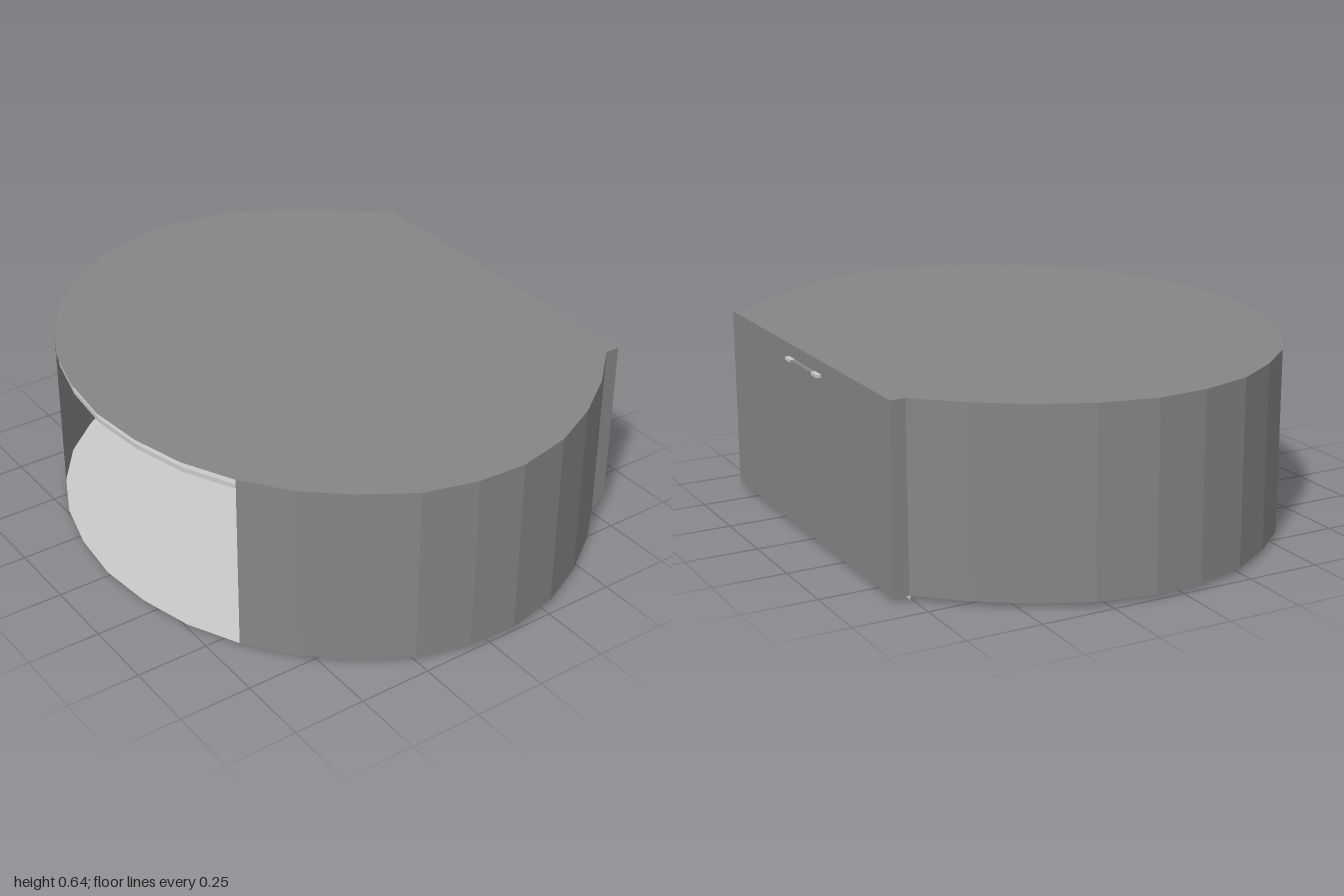
import * as THREE from 'three';

// Half outline of the room, from front centre to back corner, as [x, z]
const OUTLINE = [
  [0, 0.82], [0.2, 0.8], [0.39, 0.75], [0.565, 0.665], [0.72, 0.55], [0.84, 0.41], [0.94, 0.25],
  [0.99, 0.07], [1, -0.1], [0.96, -0.29], [0.88, -0.46], [0.77, -0.62], [0.64, -0.76],
];
const BOTTOM = 0.015, TOP = 0.64, BACK = -0.76;

const makeMaterial = (name, color, side = THREE.FrontSide) => {
  const m = new THREE.MeshStandardMaterial({ color, side });
  m.name = name;
  return m;
};

export function createModel() {
  const grey = makeMaterial('shell grey', 0x868686, THREE.DoubleSide);
  const light = makeMaterial('interior light grey', 0xcacac8, THREE.DoubleSide);
  const orange = makeMaterial('frame orange', 0xd0532c);
  const group = new THREE.Group();

  const add = (name, geometry, material, x = 0, y = 0, z = 0) => {
    const mesh = new THREE.Mesh(geometry, material);
    mesh.name = name;
    mesh.position.set(x, y, z);
    group.add(mesh);
    return mesh;
  };
  // Box given by its minimum and maximum corners
  const box = (name, material, x0, x1, y0, y1, z0, z1) =>
    add(name, new THREE.BoxGeometry(x1 - x0, y1 - y0, z1 - z0), material,
      (x0 + x1) / 2, (y0 + y1) / 2, (z0 + z1) / 2);

  // Full outline, mirrored in x
  const mirrored = OUTLINE.slice(1).reverse().map(([x, z]) => [-x, z]);
  const plan = new THREE.Shape([...mirrored, ...OUTLINE].map(([x, z]) => new THREE.Vector2(x, z)));

  // Roof and floor sheets, and the thin ceiling slab under the roof
  add('roof', new THREE.ShapeGeometry(plan).rotateX(Math.PI / 2), grey, 0, TOP);
  add('floor', new THREE.ShapeGeometry(plan).rotateX(Math.PI / 2), light, 0, BOTTOM);
  const slab = new THREE.ExtrudeGeometry(plan, { depth: 0.016, bevelEnabled: false });
  slab.rotateX(Math.PI / 2).scale(0.998, 1, 0.99);
  add('ceiling', slab, light, 0, 0.618);

  // Faceted side walls, leaving the front open
  for (const side of [1, -1]) {
    const pos = [];
    for (let i = 3; i < OUTLINE.length - 1; i++) {
      const [ax, az] = OUTLINE[i], [bx, bz] = OUTLINE[i + 1];
      const a = [ax * side, BOTTOM, az], b = [bx * side, BOTTOM, bz];
      const c = [bx * side, TOP, bz], d = [ax * side, TOP, az];
      const quad = side > 0 ? [a, b, c, a, c, d] : [a, c, b, a, d, c];
      pos.push(...quad.flat());
    }
    const geometry = new THREE.BufferGeometry();
    geometry.setAttribute('position', new THREE.Float32BufferAttribute(pos, 3));
    geometry.computeVertexNormals();
    add(side > 0 ? 'leftWall' : 'rightWall', geometry, grey);
  }

  // Flat back wall with its light inner lining and a dividing strip
  box('backWall', grey, -0.64, 0.64, BOTTOM, TOP, -0.812, BACK);
  add('backLining', new THREE.PlaneGeometry(1.28, 0.578), light, 0, 0.289, BACK + 0.004);
  box('dividingStrip', grey, -0.64, 0.64, 0.325, 0.337, BACK, BACK + 0.01);

  // Door frames with rounded upper corners
  const arch = (shape, w, y0, y1, r) => {
    shape.moveTo(-w, y0);
    shape.lineTo(w, y0);
    shape.lineTo(w, y1 - r);
    shape.quadraticCurveTo(w, y1, w - r, y1);
    shape.lineTo(-w + r, y1);
    shape.quadraticCurveTo(-w, y1, -w, y1 - r);
    shape.closePath();
    return shape;
  };
  for (const side of [1, -1]) {
    const shape = arch(new THREE.Shape(), 0.204, 0.002, 0.222, 0.025);
    shape.holes.push(arch(new THREE.Path(), 0.176, 0.01, 0.186, 0.02));
    const frame = new THREE.ExtrudeGeometry(shape, { depth: 0.03, bevelEnabled: false, curveSegments: 4 });
    add(side > 0 ? 'leftDoorFrame' : 'rightDoorFrame', frame, orange, side * 0.312, 0, BACK + 0.005);
  }

  // Handle on the back, its two ends passing through the wall
  box('handleBar', grey, -0.085, 0.085, 0.587, 0.595, -0.828, -0.81);
  for (const side of [1, -1]) {
    const end = box('handleEnd', light, -0.024, 0.024, 0.586, 0.596, -0.828, BACK + 0.003);
    end.position.x = side * 0.107;
  }

  return group;
}
